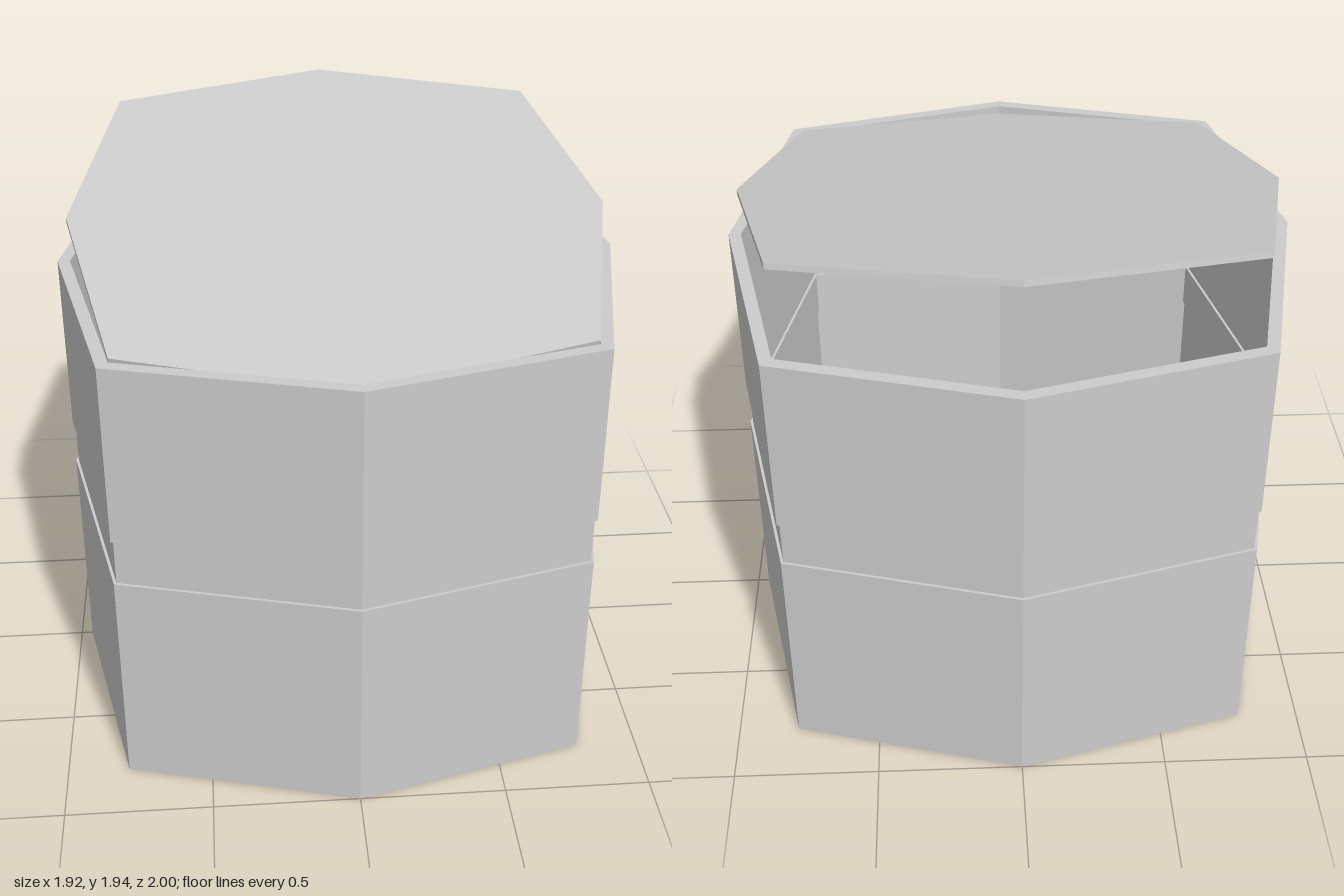
import * as THREE from 'three';

// Stretched octagon outline, scaled evenly
const CORNERS = [[0.96, 0], [0.79, 0.79], [0, 1], [-0.79, 0.79], [-0.96, 0], [-0.79, -0.79], [0, -1], [0.79, -0.79]];
const outline = (s) => CORNERS.map(([x, z]) => new THREE.Vector2(x * s, z * s));

// Upright octagonal prism from y0 to y1; an inner scale makes it a hollow ring
function prism(outer, inner, y0, y1) {
  const shape = new THREE.Shape(outline(outer));
  if (inner) shape.holes.push(new THREE.Path(outline(inner)));
  const geometry = new THREE.ExtrudeGeometry(shape, { depth: y1 - y0, bevelEnabled: false });
  return geometry.rotateX(-Math.PI / 2).translate(0, y0, 0);
}

export function createModel() {
  const group = new THREE.Group();
  const material = new THREE.MeshStandardMaterial({ color: 0xcccccc, flatShading: true });
  const add = (name, geometry) => {
    const mesh = new THREE.Mesh(geometry, material);
    mesh.name = name;
    group.add(mesh);
    return mesh;
  };

  // Hollow container
  add('floor', prism(1, 0, 0, 0.04));
  add('lowerWall', prism(1, 0.956, 0.04, 0.79));
  add('recessedBand', prism(0.99, 0.946, 0.79, 0.955));
  add('upperWall', prism(1, 0.956, 0.955, 1.585));

  // Thin lid, resting inside the front rim and raised at the back
  const lid = add('lid', prism(0.955, 0, -0.01, 0.01));
  lid.position.set(0, 1.741, 0.0125);
  lid.rotation.x = 0.2047;

  return group;
}
